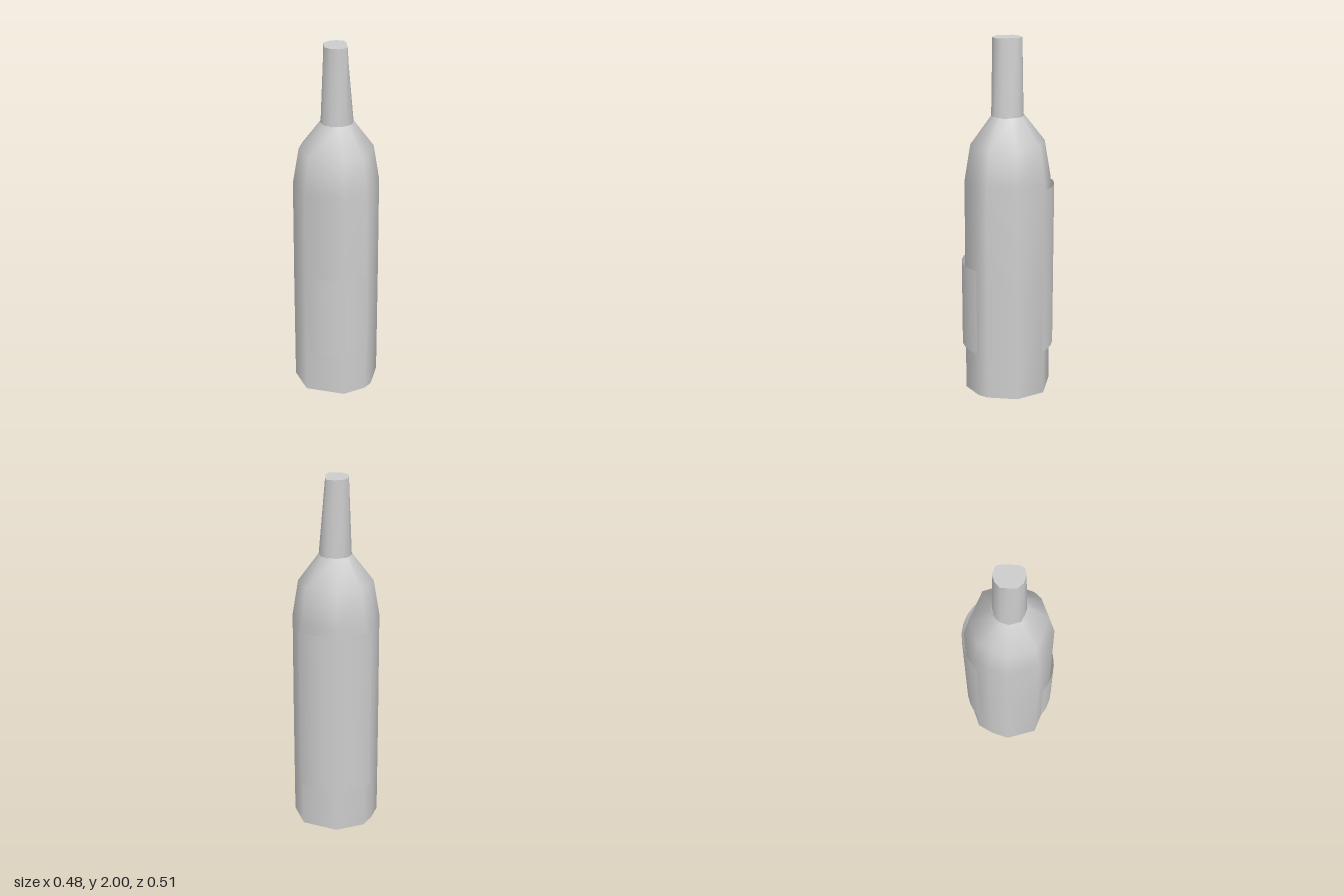
import * as THREE from 'three';

const material = new THREE.MeshStandardMaterial({ color: 0xcccccc, side: THREE.DoubleSide });

// Skin a stack of equal-length rings, each a list of [x, y, z]
function loft(name, rings) {
  const n = rings[0].length, index = [];
  for (let r = 0; r < rings.length - 1; r++) {
    for (let i = 0; i < n; i++) {
      const a = r * n + i, b = r * n + (i + 1) % n;
      index.push(a, b, b + n, a, b + n, a + n);
    }
  }
  const geometry = new THREE.BufferGeometry();
  geometry.setAttribute('position', new THREE.Float32BufferAttribute(rings.flat(2), 3));
  geometry.setIndex(index);
  geometry.computeVertexNormals();
  const mesh = new THREE.Mesh(geometry, material);
  mesh.name = name;
  return mesh;
}

// Curved sheet standing just off the body
function label(name, radius, centreAngle, halfAngle, bottom, top, segments) {
  const geometry = new THREE.CylinderGeometry(radius, radius, top - bottom, segments, 1, true,
    centreAngle - halfAngle, halfAngle * 2);
  const mesh = new THREE.Mesh(geometry, material);
  mesh.name = name;
  mesh.position.set(-0.005, (bottom + top) / 2, 0);
  return mesh;
}

export function createModel() {
  const bottle = new THREE.Group();
  bottle.name = 'bottle';

  // Uneven many-sided outline of the body, as [x, z]
  const outline = [[0.02, 0.243], [0.145, 0.19], [0.185, 0.145], [0.235, -0.015], [0.175, -0.175],
    [-0.015, -0.247], [-0.17, -0.185], [-0.215, -0.1], [-0.244, 0], [-0.19, 0.168]];
  const ring = (y, s) => outline.map(([x, z]) => [x * s, y, z * s]);

  // Body and shoulder
  bottle.add(loft('body', [ring(0, 1), ring(0.6, 1), ring(1.23, 0.99), ring(1.43, 0.85), ring(1.58, 0.38)]));

  // Hollow base
  bottle.add(loft('base', [ring(0.16, 0), ring(0.13, 0.4), ring(0, 1)]));

  // Neck, tapering to a flattened mouth
  const circle = (y, r, minX, maxX) => Array.from({ length: 12 }, (_, i) => {
    const a = (i / 12) * Math.PI * 2;
    return [THREE.MathUtils.clamp(Math.sin(a) * r, minX, maxX), y, Math.cos(a) * r];
  });
  const mouth = circle(2, 0.081, -0.071, 0.051);
  bottle.add(loft('neck', [circle(1.57, 0.089, -1, 1), mouth]));
  bottle.add(loft('neckTop', [mouth, circle(2, 0, 0, 0)]));

  // Labels
  bottle.add(label('frontLabel', 0.256, 0, 0.675, 0.26, 0.75, 6));
  bottle.add(label('backLabel', 0.258, Math.PI, 0.87, 0.26, 1.2, 8));

  return bottle;
}
